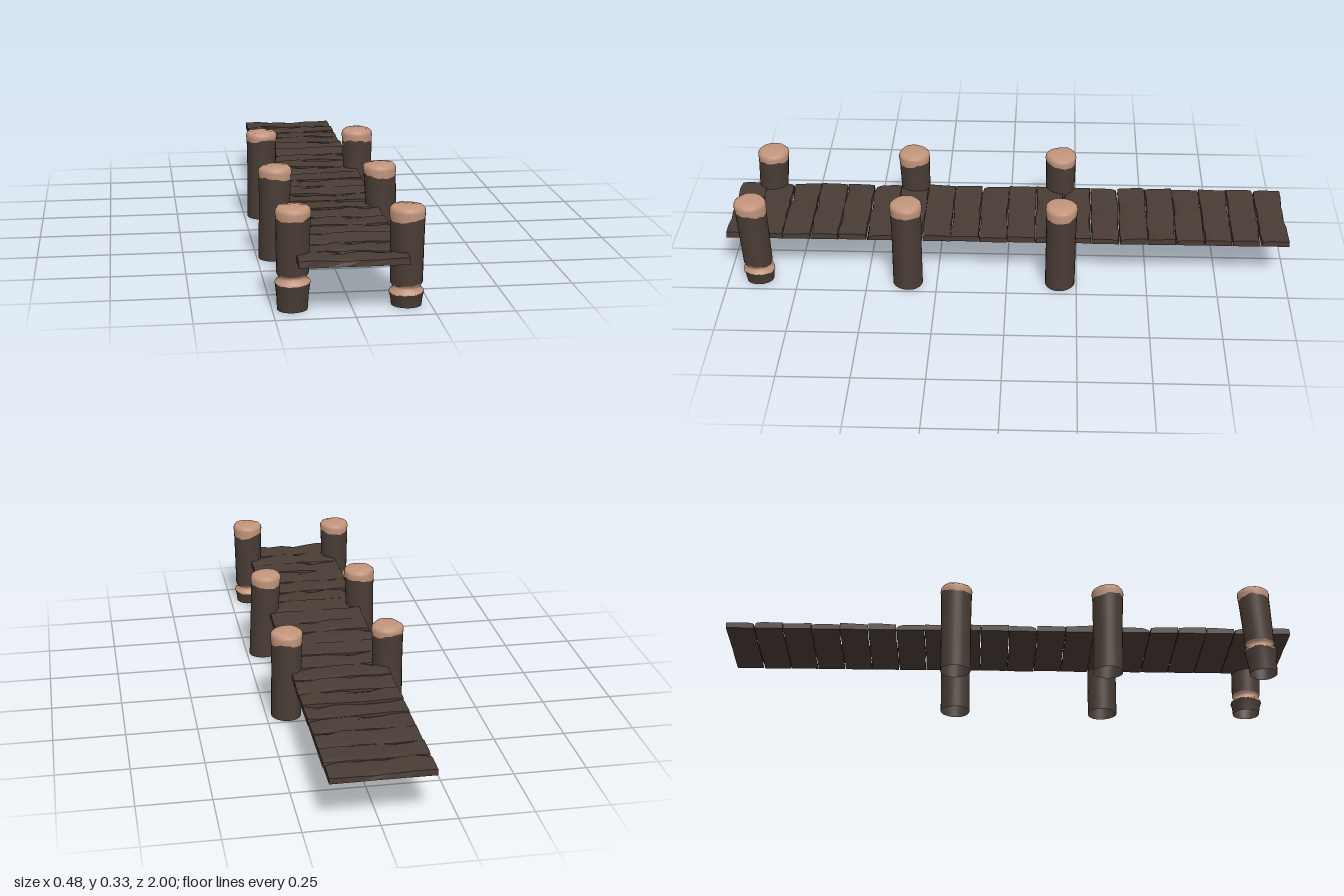
import * as THREE from 'three';

const SIDES = 24;

// repeatable noise in -1..1
function noise(a, b = 0, c = 0) {
  const s = Math.sin(a * 127.1 + b * 311.7 + c * 74.7) * 43758.5453;
  return (s - Math.floor(s)) * 2 - 1;
}

// One turned section of a post. Profile rows are [radius, height, raggedness];
// the section follows the lean from foot to head.
function postSection(name, profile, post, material) {
  const geo = new THREE.LatheGeometry(profile.map(([r, y]) => new THREE.Vector2(r, y)), SIDES);
  const pos = geo.attributes.position;
  const [footX, footZ] = post.foot, [headX, headZ] = post.head;
  for (let i = 0; i < pos.count; i++) {
    const side = Math.floor(i / profile.length) % SIDES;
    const a = (side / SIDES) * Math.PI * 2;
    const rag = profile[i % profile.length][2] || 0;
    const y = pos.getY(i) + rag * (0.6 * Math.sin(2 * a + post.seed) + 0.4 * noise(side, post.seed, rag));
    const swell = 1 + 0.025 * Math.sin(3 * a + post.seed * 2);
    const t = y / 0.33;
    pos.setXYZ(i,
      pos.getX(i) * swell + footX + (headX - footX) * t,
      y,
      pos.getZ(i) * swell + footZ + (headZ - footZ) * t);
  }
  const mesh = new THREE.Mesh(geo, material);
  mesh.name = name;
  return mesh;
}

function makePost(post, bark, wood) {
  const group = new THREE.Group();
  group.name = 'post';
  const edge = post.capEdge;
  let shaftStart = [[0.053, 0.004]];

  if (post.notch) {
    // gnawed waist separating a tapered stump from the shaft
    const n = post.notch;
    group.add(postSection('stump', [[0.048, 0.004], [0.051, n * 0.5], [0.056, n - 0.015, 0.004]], post, bark));
    group.add(postSection('notch',
      [[0.056, n - 0.015, 0.004], [0.054, n - 0.009], [0.043, n], [0.047, n + 0.009], [0.051, n + 0.015, 0.005]],
      post, wood));
    shaftStart = [[0.051, n + 0.015, 0.005]];
  }
  group.add(postSection('shaft', [...shaftStart, [0.053, 0.2], [0.055, edge, 0.009]], post, bark));
  group.add(postSection('cap',
    [[0.055, edge, 0.009], [0.057, 0.312], [0.055, 0.322], [0.048, 0.329, 0.002], [0.028, 0.332, 0.002], [0.0001, 0.333]],
    post, wood));
  return group;
}

// A rough plank: flat underneath, with unevenly worn top and side edges.
function makePlank(i, material) {
  const width = 0.343, thick = 0.021, depth = 0.099;
  const box = new THREE.BoxGeometry(width, thick, depth, 7, 1, 4);
  const pos = box.attributes.position;
  for (let v = 0; v < pos.count; v++) {
    let x = pos.getX(v), y = pos.getY(v), z = pos.getZ(v);
    const col = Math.round((x / width + 0.5) * 7);
    const row = Math.round((z / depth + 0.5) * 4);
    const rim = row === 0 || row === 4;
    if (y > 0) {
      y += 0.002 * Math.sin(col * 0.9 + i * 1.7) + 0.0015 * noise(i, 3) * (row - 2);
      if (rim) {
        const wear = Math.max(0, noise(col, i, row));
        y -= 0.007 * wear;
        z -= Math.sign(z) * 0.007 * wear;
      }
    } else if (rim) {
      z -= Math.sign(z) * 0.0015 * Math.max(0, noise(col, i, row));
    }
    if (col === 0 || col === 7) x += 0.0015 * noise(i, col);
    pos.setXYZ(v, x, y, z);
  }
  const geo = box.toNonIndexed();
  geo.computeVertexNormals();
  const mesh = new THREE.Mesh(geo, material);
  mesh.name = 'plank';
  mesh.position.set(-0.006, 0.1765 + 0.001 * noise(i, 9), -0.95 + i * 0.1);
  return mesh;
}

export function createModel() {
  const bark = new THREE.MeshStandardMaterial({ color: 0x493c35, side: THREE.DoubleSide });
  bark.name = 'dark weathered wood';
  const wood = new THREE.MeshStandardMaterial({ color: 0xc3957c, side: THREE.DoubleSide });
  wood.name = 'pale bare wood';

  const model = new THREE.Group();
  model.name = 'dock';

  // walkway
  const deck = new THREE.Group();
  deck.name = 'deck';
  for (let i = 0; i < 20; i++) deck.add(makePlank(i, bark));
  model.add(deck);

  // three pairs of leaning posts, the front pair notched near the foot
  const posts = [
    { foot: [-0.186, -0.19], head: [-0.184, -0.19], capEdge: 0.298 },
    { foot: [0.178, -0.19], head: [0.173, -0.192], capEdge: 0.288 },
    { foot: [-0.19, 0.345], head: [-0.185, 0.352], capEdge: 0.292 },
    { foot: [0.187, 0.353], head: [0.172, 0.354], capEdge: 0.29 },
    { foot: [-0.187, 0.892], head: [-0.182, 0.873], capEdge: 0.294, notch: 0.105 },
    { foot: [0.175, 0.888], head: [0.173, 0.904], capEdge: 0.287, notch: 0.063 },
  ];
  posts.forEach((p, i) => model.add(makePost({ ...p, seed: i + 1 }, bark, wood)));
  return model;
}
